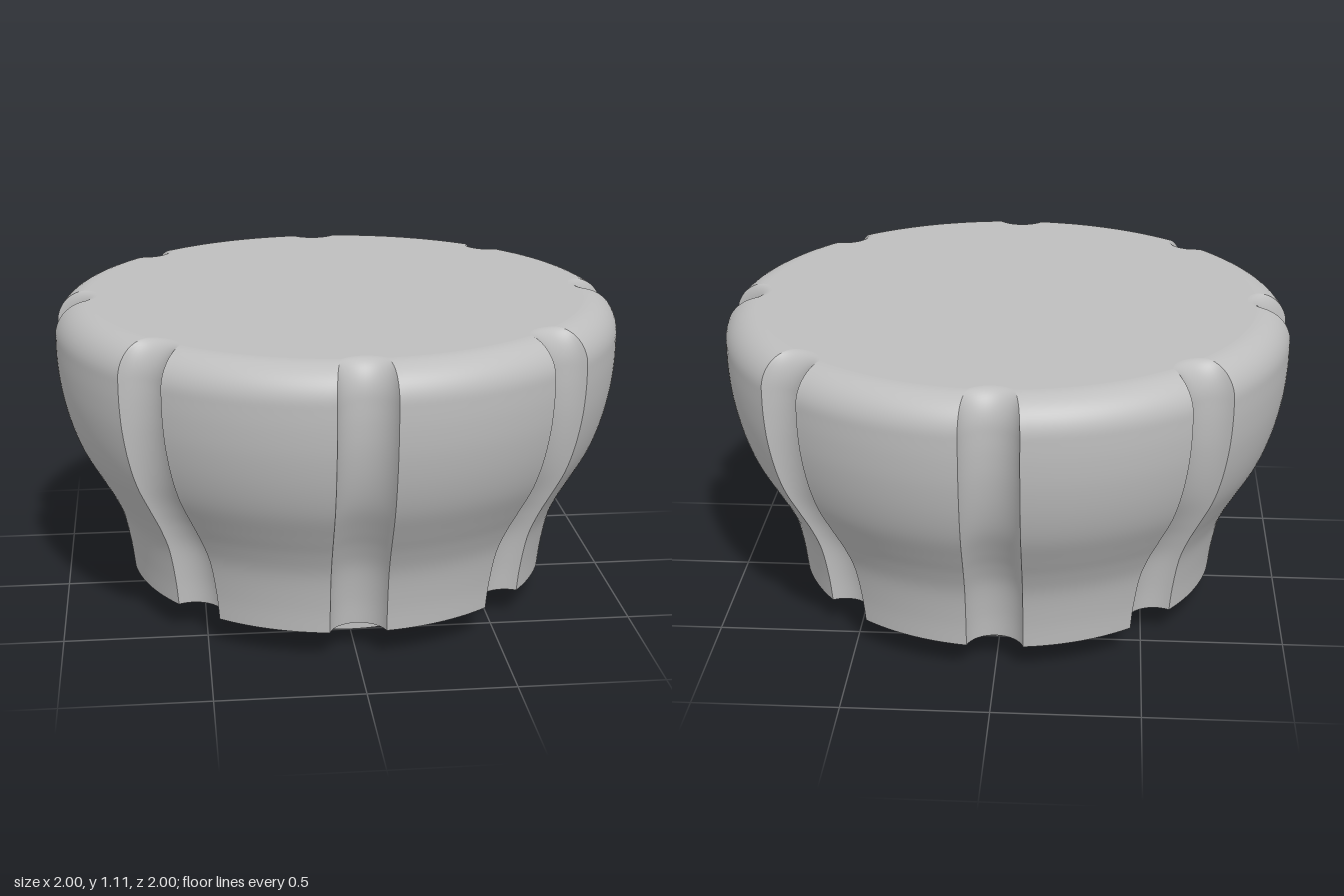
import * as THREE from 'three';

const GROOVES = 8, GROOVE_RADIUS = 0.1, BASE_Y = 0.105, TOP_Y = 1.105;
const LAND_STEPS = 20, GROOVE_STEPS = 16;
const STEP = (Math.PI * 2) / GROOVES;

// Levels from base to top: height, body radius, distance of the groove axis from the centre
function makeLevels() {
  const side = new THREE.SplineCurve([
    [0.755, BASE_Y], [0.767, 0.2], [0.793, 0.32], [0.832, 0.41], [0.877, 0.49], [0.932, 0.59],
    [0.968, 0.69], [0.992, 0.8], [1.002, 0.9], [1.003, 0.985],
  ].map(([r, y]) => new THREE.Vector2(r, y)));
  const levels = side.getPoints(45).map((p) => ({ y: p.y, r: p.x, c: p.x + 0.02 }));
  // Rounded shoulder
  for (let i = 1; i <= 14; i++) {
    const t = (i / 14) * Math.PI / 2;
    levels.push({
      y: 0.985 + (TOP_Y - 0.985) * Math.sin(t),
      r: 0.883 + 0.12 * Math.cos(t),
      c: 0.95 + 0.073 * Math.cos(t),
    });
  }
  return levels;
}

// Where the groove circle meets the body circle
function grooveEdge({ r, c }) {
  const x = (r * r + c * c - GROOVE_RADIUS ** 2) / (2 * c);
  const z = Math.sqrt(Math.max(r * r - x * x, 0));
  return { bodyAngle: Math.atan2(z, x), arcAngle: Math.atan2(z, c - x) };
}

const polar = (r, a, y) => new THREE.Vector3(r * Math.sin(a), y, r * Math.cos(a));

// One level's points across groove k, or across the land after it
function grooveRow(level, k) {
  const { arcAngle } = grooveEdge(level);
  return Array.from({ length: GROOVE_STEPS + 1 }, (_, i) => {
    const t = arcAngle * ((2 * i) / GROOVE_STEPS - 1);
    const out = level.c - GROOVE_RADIUS * Math.cos(t), across = GROOVE_RADIUS * Math.sin(t);
    return polar(Math.hypot(out, across), k * STEP + Math.atan2(across, out), level.y);
  });
}

function landRow(level, k) {
  const { bodyAngle } = grooveEdge(level);
  return Array.from({ length: LAND_STEPS + 1 }, (_, i) =>
    polar(level.r, k * STEP + bodyAngle + (STEP - 2 * bodyAngle) * (i / LAND_STEPS), level.y));
}

// Smooth surface through rows of points
function loft(rows) {
  const n = rows[0].length, index = [];
  for (let j = 0; j < rows.length - 1; j++) {
    for (let i = 0; i < n - 1; i++) {
      const a = j * n + i, b = a + 1, c = a + n, d = c + 1;
      index.push(a, b, d, a, d, c);
    }
  }
  const geometry = new THREE.BufferGeometry().setFromPoints(rows.flat());
  geometry.setIndex(index);
  geometry.computeVertexNormals();
  return geometry;
}

// Flat scalloped face closing the body at one level
function cap(level, up) {
  const outline = [];
  for (let k = 0; k < GROOVES; k++) {
    outline.push(...grooveRow(level, k).slice(0, -1), ...landRow(level, k).slice(0, -1));
  }
  const sign = up ? -1 : 1;
  const shape = new THREE.Shape(outline.map((p) => new THREE.Vector2(p.x, sign * p.z)));
  return new THREE.ShapeGeometry(shape).rotateX((sign * Math.PI) / 2).translate(0, level.y, 0);
}

export function createModel() {
  const model = new THREE.Group();
  model.name = 'knob';
  const grey = new THREE.MeshStandardMaterial({ color: 0xbebebe });
  grey.name = 'grey';
  const add = (name, geometry) => {
    const mesh = new THREE.Mesh(geometry, grey);
    mesh.name = name;
    model.add(mesh);
    return mesh;
  };

  // Flared body: alternating finger grooves and lands
  const levels = makeLevels();
  for (let k = 0; k < GROOVES; k++) {
    add(`groove${k + 1}`, loft(levels.map((level) => grooveRow(level, k))));
    add(`land${k + 1}`, loft(levels.map((level) => landRow(level, k))));
  }
  add('topFace', cap(levels[levels.length - 1], true));
  add('underside', cap(levels[0], false));

  // Round collar below the body
  add('collar', new THREE.CylinderGeometry(0.5, 0.5, BASE_Y, 96)).position.y = BASE_Y / 2;
  return model;
}
